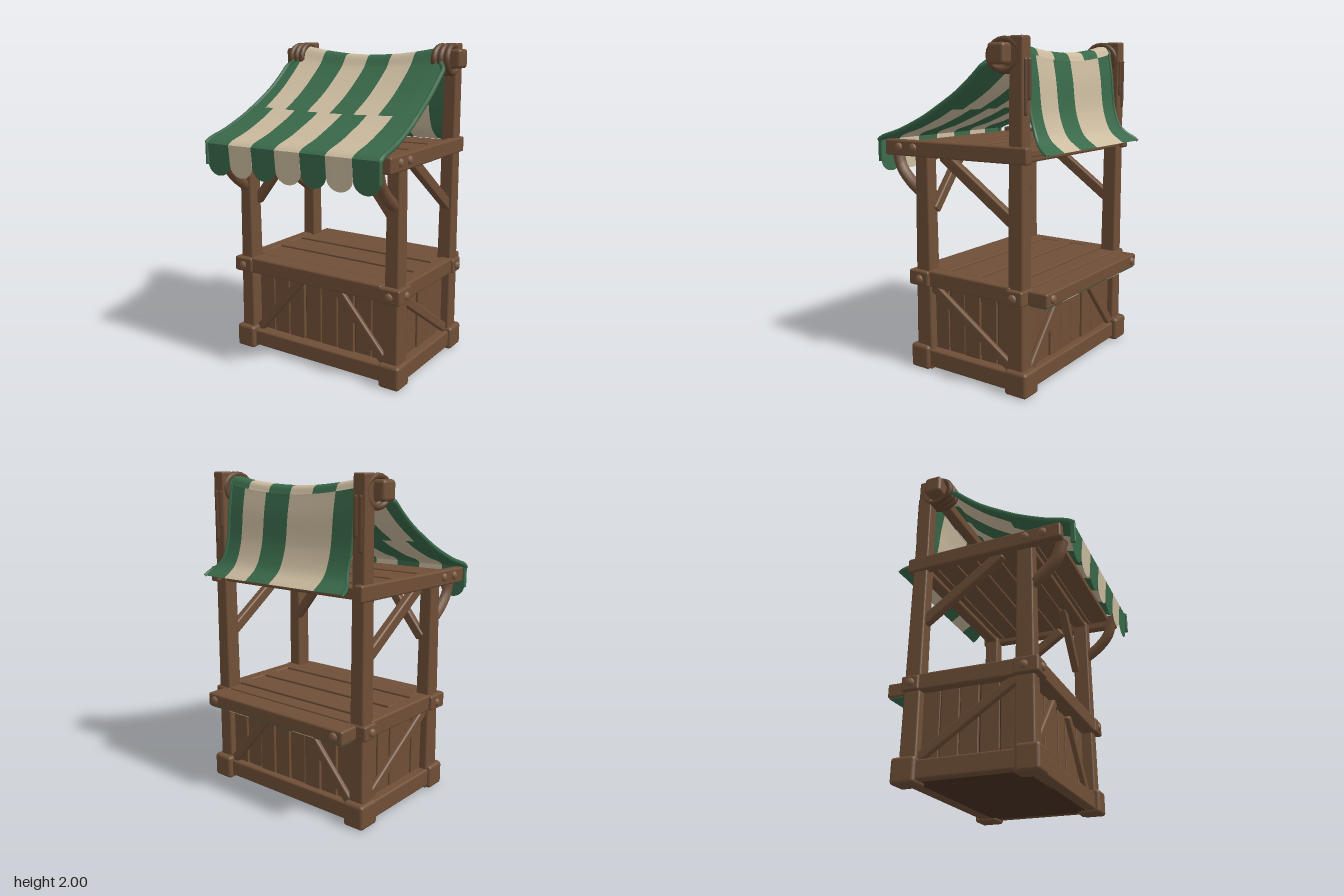
import * as THREE from 'three';
import { RoundedBoxGeometry } from 'three/addons/geometries/RoundedBoxGeometry.js';
import { ParametricGeometry } from 'three/addons/geometries/ParametricGeometry.js';

const mat = (name, color, side = THREE.FrontSide) => {
  const m = new THREE.MeshStandardMaterial({ color, side });
  m.name = name;
  return m;
};

export function createModel() {
  const model = new THREE.Group();
  model.name = 'marketStall';
  const wood = mat('wood', 0x6f4f37);
  const darkWood = mat('darkWood', 0x4a3323);
  const boltWood = mat('boltWood', 0x7c5b42);
  const rope = mat('rope', 0x5f422d);
  const green = mat('greenCloth', 0x39694a, THREE.DoubleSide);
  const cream = mat('creamCloth', 0xcbbb9f, THREE.DoubleSide);

  const add = (name, geometry, material, x = 0, y = 0, z = 0) => {
    const mesh = new THREE.Mesh(geometry, material);
    mesh.name = name;
    mesh.position.set(x, y, z);
    model.add(mesh);
    return mesh;
  };
  // Rounded box given by its extents
  const block = (name, x0, x1, y0, y1, z0, z1, material = wood, r = 0.012) => add(name,
    new RoundedBoxGeometry(x1 - x0, y1 - y0, z1 - z0, 2, r), material,
    (x0 + x1) / 2, (y0 + y1) / 2, (z0 + z1) / 2);
  // Timber running between two points
  const beam = (name, a, b, width, height) => {
    const from = new THREE.Vector3(...a), to = new THREE.Vector3(...b);
    const mesh = add(name, new RoundedBoxGeometry(width, height, from.distanceTo(to), 2, 0.012), wood);
    mesh.position.copy(from).add(to).multiplyScalar(0.5);
    mesh.lookAt(to);
  };
  // Post that narrows towards the top
  const post = (name, x, z, height, w, d) => {
    const g = new RoundedBoxGeometry(w, height, d, 2, 0.012);
    const p = g.attributes.position;
    for (let i = 0; i < p.count; i++) {
      const k = 1 - 0.2 * (p.getY(i) / height + 0.5);
      p.setX(i, p.getX(i) * k);
      p.setZ(i, p.getZ(i) * k);
    }
    add(name, g, wood, x, height / 2, z);
  };
  const bolt = (x, y, z, axis) => {
    const b = add('bolt', new THREE.SphereGeometry(0.026, 10, 8), boltWood, x, y, z);
    b.scale[axis] = 0.6;
  };

  // Frame pieces that repeat on both sides
  for (const s of [-1, 1]) {
    const side = (name, x0, x1, ...rest) =>
      block(name, Math.min(s * x0, s * x1), Math.max(s * x0, s * x1), ...rest);
    post('frontPost', s * 0.545, 0.28, 1.36, 0.1, 0.12);
    post('backPost', s * 0.545, -0.4, 1.995, 0.1, 0.108);
    side('frontFoot', 0.48, 0.62, 0, 0.15, 0.23, 0.37, wood, 0.02);
    side('backFoot', 0.48, 0.62, 0, 0.15, -0.49, -0.34, wood, 0.02);
    side('sideBaseRail', 0.53, 0.6, 0.02, 0.13, -0.36, 0.25);
    side('frontCounterBlock', 0.48, 0.62, 0.53, 0.625, 0.22, 0.37);
    side('backCounterBlock', 0.49, 0.615, 0.53, 0.62, -0.46, -0.35);
    side('sideCounterRail', 0.52, 0.6, 0.53, 0.63, -0.37, 0.24);
    beam('roofSideBeam', [s * 0.61, 1.365, 0.52], [s * 0.57, 1.365, -0.48], 0.06, 0.095);

    // Diagonal braces
    beam('frontPanelBrace', [s * 0.49, 0.12, 0.285], [s * 0.13, 0.53, 0.285], 0.035, 0.06);
    beam('backPanelBrace', [s * 0.49, 0.12, -0.43], [s * 0.13, 0.53, -0.43], 0.035, 0.06);
    beam('sidePanelBrace', [s * 0.56, 0.14, -0.36], [s * 0.56, 0.53, 0.23], 0.035, 0.06);
    beam('roofBackBrace', [s * 0.545, 0.98, -0.37], [s * 0.555, 1.33, 0.13], 0.05, 0.07);
    beam('roofInnerBrace', [s * 0.52, 0.99, 0.24], [s * 0.24, 1.34, 0.24], 0.05, 0.06);
    const bend = new THREE.CatmullRomCurve3([[0.3, 1.09], [0.4, 1.16], [0.47, 1.24], [0.5, 1.34]]
      .map(([z, y]) => new THREE.Vector3(s * 0.55, y, z)));
    add('roofFrontBrace', new THREE.TubeGeometry(bend, 10, 0.036, 6), wood);

    // Ridge beam end and its rope lashing
    side('ridgeBeamEnd', 0.5, 0.655, 1.845, 1.96, -0.37, -0.26, wood, 0.02);
    [0.505, 0.54, 0.575].forEach((x, i) => {
      const coil = add('ropeCoil', new THREE.TorusGeometry(0.085, 0.019, 8, 20), rope, s * x, 1.895, -0.32);
      coil.rotation.y = Math.PI / 2 + s * (i - 1) * 0.08;
      coil.scale.set(1.12, 0.96, 1);
    });
    [0.525, 0.56].forEach((x, i) => add('ropeTail',
      new THREE.CapsuleGeometry(0.013, 0.2 + i * 0.08, 3, 6), rope, s * x, 1.77 - i * 0.04, -0.445));

    // Bolts
    bolt(s * 0.55, 0.575, 0.37, 'z');
    bolt(s * 0.49, 0.575, -0.585, 'z');
    for (const z of [0.285, -0.4]) bolt(s * 0.62, 0.575, z, 'x');
    for (const z of [0.41, 0.3]) bolt(s * (0.632 + (z - 0.3) * 0.04), 1.37, z, 'x');
  }

  // Cross rails
  block('frontBaseRail', -0.5, 0.5, 0.02, 0.125, 0.25, 0.34);
  block('backBaseRail', -0.5, 0.5, 0.02, 0.125, -0.46, -0.36);
  block('frontCounterRail', -0.49, 0.49, 0.53, 0.63, 0.23, 0.36);
  block('backCounterRail', -0.55, 0.55, 0.53, 0.615, -0.585, -0.44);
  block('roofFrontRail', -0.55, 0.55, 1.32, 1.39, 0.24, 0.32);
  block('roofBackRail', -0.55, 0.55, 1.32, 1.39, -0.44, -0.36);
  block('ridgeBeam', -0.52, 0.52, 1.82, 1.89, -0.345, -0.275);
  block('floor', -0.54, 0.54, 0.02, 0.05, -0.4, 0.28, darkWood, 0.005);

  // Dark core behind the plank gaps
  block('panelCore', -0.53, 0.53, 0.05, 0.585, -0.39, 0.25, darkWood, 0.005);

  // Wall planks
  const row = (from, to, n, make) => {
    const step = (to - from) / n;
    for (let i = 0; i < n; i++) make(from + i * step + 0.004, from + (i + 1) * step - 0.004, i);
  };
  row(-0.5, 0.5, 8, (a, b, i) => {
    const d = (i % 3) * 0.004;
    block('frontPlank', a, b, 0.08, 0.55, 0.24, 0.262 + d, wood, 0.005);
    block('backPlank', a, b, 0.08, 0.55, -0.412 - d, -0.38, wood, 0.005);
  });
  row(-0.36, 0.24, 5, (a, b, i) => {
    const d = (i % 3) * 0.004;
    block('leftPlank', 0.52, 0.538 + d, 0.08, 0.55, a, b, wood, 0.005);
    block('rightPlank', -0.538 - d, -0.52, 0.08, 0.55, a, b, wood, 0.005);
  });
  // Counter and shelf boards
  row(-0.45, 0.24, 6, (a, b, i) =>
    block('counterBoard', -0.525, 0.525, 0.585, 0.622 + (i % 2) * 0.008, a, b, wood, 0.006));
  block('shelfCore', -0.53, 0.53, 1.365, 1.375, -0.44, 0.46, darkWood, 0.003);
  row(-0.45, 0.48, 7, (a, b, i) =>
    block('shelfBoard', -0.55, 0.55, 1.35, 1.388 + (i % 2) * 0.006, a, b, wood, 0.006));

  // Awning: profile points are [z, y]
  const path = pts => new THREE.CatmullRomCurve3(pts.map(([z, y]) => new THREE.Vector3(0, y, z)));
  const upperPath = path([[-0.385, 1.92], [-0.36, 1.962], [-0.29, 1.965], [-0.22, 1.88],
    [-0.02, 1.705], [0.16, 1.59]]);
  const lowerPath = path([[0.16, 1.59], [0.25, 1.54], [0.42, 1.465], [0.56, 1.42], [0.59, 1.4]]);
  const backPath = path([[-0.385, 1.92], [-0.405, 1.8], [-0.435, 1.56], [-0.485, 1.44], [-0.575, 1.37]]);
  const { smoothstep, clamp } = THREE.MathUtils;
  const frontHalf = z => 0.505 + 0.08 * smoothstep(z, -0.27, -0.17) + 0.03 * smoothstep(z, -0.17, 0.59);
  const backHalf = z => 0.485 + 0.06 * smoothstep(-z, 0.44, 0.56);
  const sag = (x, y) => 0.05 * Math.max(0, 1 - (x / 0.5) ** 2) * clamp((y - 1.5) / 0.4, 0, 1);

  const stripes = (name, curve, half, edges, colours, rows) => colours.forEach((colour, i) => {
    const last = colours.length - 1;
    add(name, new ParametricGeometry((u, v, out) => {
      curve.getPoint(v, out);
      const w = half(out.z);
      const a = i === 0 ? -w : clamp(edges[i - 1], -w, w);
      const b = i === last ? w : clamp(edges[i], -w, w);
      out.x = a + (b - a) * u;
      out.y -= sag(out.x, out.y);
    }, 6, rows), colour);
  });
  const seven = [green, cream, green, cream, green, cream, green];
  const lowEdges = [-0.44, -0.265, -0.09, 0.09, 0.265, 0.44];
  stripes('awningUpperStripe', upperPath, frontHalf, [-0.5, -0.34, -0.17, 0, 0.17, 0.34], seven, 24);
  stripes('awningLowerStripe', lowerPath, frontHalf, lowEdges, seven, 14);
  stripes('awningBackStripe', backPath, backHalf, [-0.34, 0, 0.19, 0.37],
    [green, cream, green, cream, green], 18);

  // Scalloped valance
  const rim = [-0.615, ...lowEdges, 0.615];
  seven.forEach((colour, i) => add('valanceScallop', new ParametricGeometry((u, v, out) => {
    const t = -Math.cos(u * Math.PI);
    const bottom = 1.28 - 0.075 * Math.sqrt(Math.max(0, 1 - t * t));
    out.set(rim[i] + (rim[i + 1] - rim[i]) * (t + 1) / 2, 1.4 + (bottom - 1.4) * v,
      0.59 - 0.012 * v);
  }, 16, 4), colour));

  // Rolled cloth hems
  const hem = (curve, half, s, r) => {
    const pts = curve.getPoints(20).map(p => p.clone().setX(s * half(p.z)));
    add('awningHem', new THREE.TubeGeometry(new THREE.CatmullRomCurve3(pts), 30, r, 6), green);
  };
  for (const s of [-1, 1]) {
    hem(upperPath, frontHalf, s, 0.015);
    hem(lowerPath, frontHalf, s, 0.015);
    hem(backPath, backHalf, s, 0.01);
    block('valanceHem', s * 0.612 - 0.008, s * 0.612 + 0.008, 1.27, 1.405, 0.57, 0.6, green, 0.006);
  }

  // Striped strip under the back counter rail
  const strip = [-0.54, -0.34, -0.17, 0, 0.19, 0.37, 0.54];
  [green, cream, green, green, cream, green].forEach((colour, i) =>
    block('underRailStripe', strip[i], strip[i + 1], 0.524, 0.531, -0.575, -0.47, colour, 0.002));

  return model;
}
